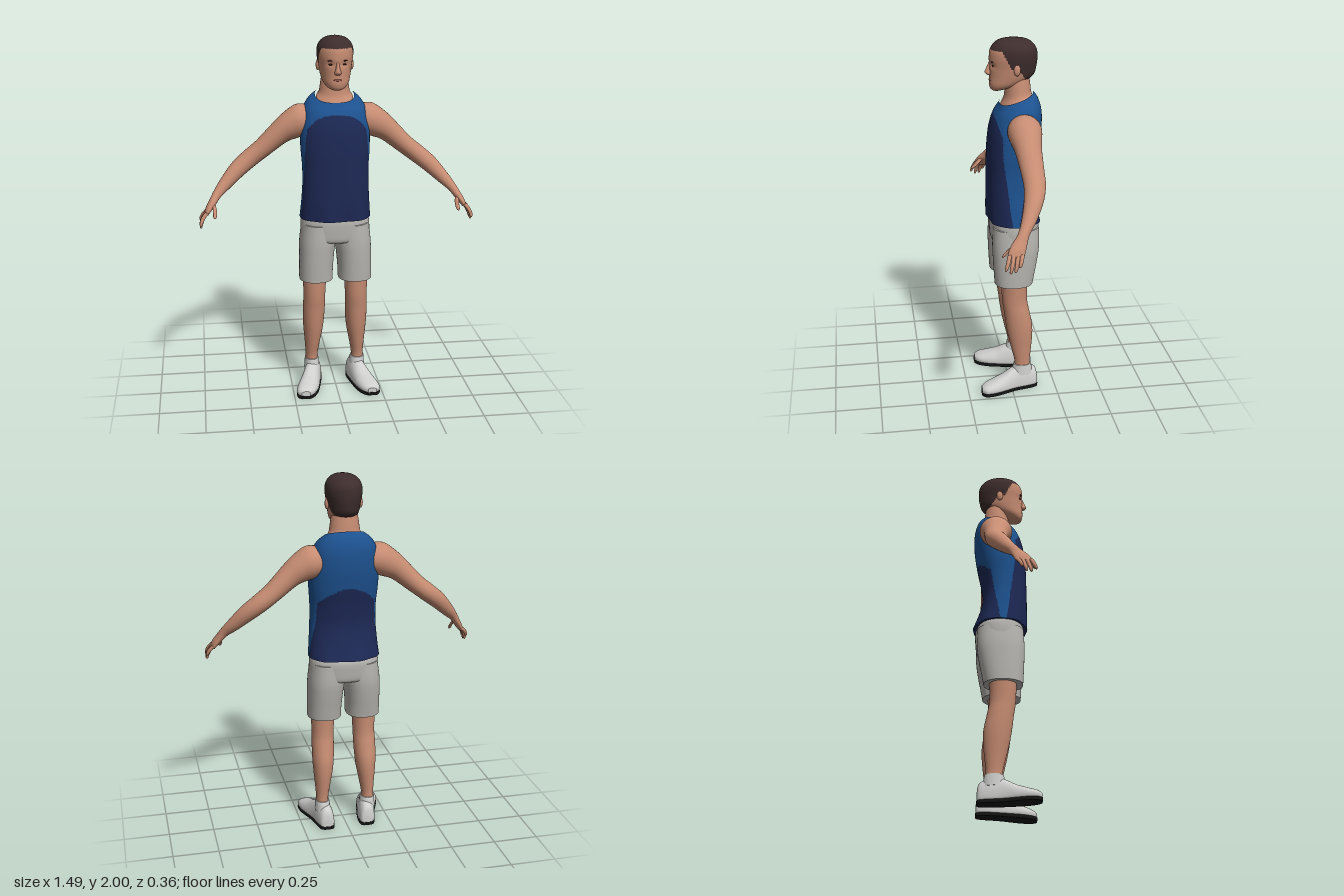
import * as THREE from 'three';

const paint = (name, color) => {
  const m = new THREE.MeshStandardMaterial({ color });
  m.name = name;
  return m;
};

// Signed power, for squarer or rounder rings
const pw = (v, e) => Math.sign(v) * Math.pow(Math.abs(v), e);

// Catmull-Rom value of every column of a section table at position t
function sample(secs, t) {
  const last = secs.length - 1, i = Math.min(Math.floor(t), last - 1), f = t - i;
  const at = k => secs[Math.max(0, Math.min(last, k))];
  return secs[0].map((_, c) => {
    const [a, b, d, e] = [at(i - 1)[c], at(i)[c], at(i + 1)[c], at(i + 2)[c]];
    return b + 0.5 * f * (d - a + f * (2 * a - 5 * b + 4 * d - e + f * (3 * (b - d) + e - a)));
  });
}

// Smooth skin through cross-sections; pick(x, y, z) chooses a material index per face
function loft(secs, point, { segs = 32, sub = 5, caps = [true, true], pick = null } = {}) {
  const pos = [], tris = [], rows = (secs.length - 1) * sub;
  for (let i = 0; i <= rows; i++) {
    const s = sample(secs, i / sub);
    for (let j = 0; j < segs; j++) pos.push(...point(s, (j / segs) * Math.PI * 2));
  }
  for (let i = 0; i < rows; i++) for (let j = 0; j < segs; j++) {
    const a = i * segs + j, b = i * segs + (j + 1) % segs;
    tris.push([a, b, b + segs], [a, b + segs, a + segs]);
  }
  // End caps get their own ring so the rim stays crisp
  [0, rows].forEach((row, end) => {
    if (!caps[end]) return;
    const start = pos.length / 3, mid = [0, 0, 0];
    for (let j = 0; j < segs; j++) for (let c = 0; c < 3; c++) {
      const v = pos[(row * segs + j) * 3 + c];
      pos.push(v);
      mid[c] += v / segs;
    }
    pos.push(...mid);
    for (let j = 0; j < segs; j++) {
      const a = start + j, b = start + (j + 1) % segs;
      tris.push(end ? [a, b, start + segs] : [b, a, start + segs]);
    }
  });
  // Turn the faces outward if the ring runs the other way
  const P = i => new THREE.Vector3().fromArray(pos, i * 3);
  const centre = new THREE.Vector3();
  for (let i = 0; i < pos.length / 3; i++) centre.add(P(i));
  centre.divideScalar(pos.length / 3);
  let volume = 0;
  for (const [a, b, c] of tris) volume += P(a).sub(centre).dot(P(b).sub(centre).cross(P(c).sub(centre)));
  if (volume < 0) tris.forEach(t => t.reverse());

  const geo = new THREE.BufferGeometry();
  geo.setAttribute('position', new THREE.Float32BufferAttribute(pos, 3));
  if (pick) {
    const sets = [[], []];
    for (const t of tris) {
      const m = P(t[0]).add(P(t[1])).add(P(t[2])).divideScalar(3);
      sets[pick(m.x, m.y, m.z)].push(...t);
    }
    geo.setIndex(sets.flat());
    geo.addGroup(0, sets[0].length, 0);
    geo.addGroup(sets[0].length, sets[1].length, 1);
  } else geo.setIndex(tris.flat());
  geo.computeVertexNormals();
  return geo;
}

// Upright ring: [y, centre x, half width, front z, back z, tilt]
const upright = (e = 1) => ([y, cx, rx, zf, zb, tilt = 0], a) => {
  const dz = (zf - zb) / 2 * pw(Math.sin(a), e);
  return [cx + rx * pw(Math.cos(a), e), y + tilt * dz, (zf + zb) / 2 + dz];
};
// Limb ring: [x, y, z, thickness, depth, angle in degrees]
const limb = ([x, y, z, ra, rb, deg], a) => {
  const d = deg * Math.PI / 180, c = ra * Math.cos(a);
  return [x + c * Math.cos(d), y + c * Math.sin(d), z + rb * Math.sin(a)];
};

function mirrored(geo) {
  const g = geo.clone().scale(-1, 1, 1), ix = g.index;
  for (let i = 0; i < ix.count; i += 3) {
    const a = ix.getX(i);
    ix.setX(i, ix.getX(i + 2));
    ix.setX(i + 2, a);
  }
  g.computeVertexNormals();
  return g;
}

export function createModel() {
  const model = new THREE.Group();
  model.name = 'standingMan';
  const skin = paint('skin', 0xc68c72), hair = paint('hair', 0x3e2d2d), navy = paint('navy cloth', 0x1d2955);
  const blue = paint('blue cloth', 0x1d5290), grey = paint('shorts cloth', 0xb5b3ae), white = paint('shoe white', 0xcfcfcd);
  const black = paint('sole black', 0x151515), lip = paint('lips', 0xa0604f), dark = paint('eye dark', 0x2e201c);

  const add = (name, geo, mat) => {
    const m = new THREE.Mesh(geo, mat);
    m.name = name;
    model.add(m);
  };
  const pair = (name, geo, mat) => {
    add(name + 'Left', geo, mat);
    add(name + 'Right', mirrored(geo), mat);
  };
  const blob = (x, y, z, rx, ry, rz) => new THREE.SphereGeometry(1, 20, 14).scale(rx, ry, rz).translate(x, y, z);

  // Head, with the hair as a second colour above the hairline
  const hairline = z => z > 0.04 ? 1.942 : z > -0.005 ? 1.942 - (0.04 - z) * 1.95
    : z > -0.045 ? 1.848 : Math.max(1.772, 1.848 + (z + 0.045) * 1.5);
  add('head', loft([
    [1.724, 0, 0.022, 0.082, 0.04], [1.735, 0, 0.046, 0.094, 0.0], [1.76, 0, 0.068, 0.1, -0.07],
    [1.80, 0, 0.081, 0.099, -0.132], [1.85, 0, 0.089, 0.099, -0.15], [1.90, 0, 0.097, 0.1, -0.155],
    [1.94, 0, 0.095, 0.095, -0.15], [1.97, 0, 0.08, 0.075, -0.13], [1.99, 0, 0.053, 0.045, -0.098],
    [2.0, 0, 0.012, -0.01, -0.04],
  ], (s, a) => {
    const p = upright()(s, a);
    // Eye sockets
    if (p[2] > 0) p[2] -= 0.007 * Math.exp(-(((Math.abs(p[0]) - 0.035) / 0.02) ** 2) - ((p[1] - 1.862) / 0.014) ** 2);
    return p;
  }, { segs: 80, sub: 8, pick: (x, y, z) => (y > hairline(z) ? 1 : 0) }), [skin, hair]);
  add('nose', loft([
    [1.806, 0, 0.012, 0.106, 0.07], [1.814, 0, 0.019, 0.118, 0.07], [1.825, 0, 0.016, 0.123, 0.07],
    [1.85, 0, 0.01, 0.112, 0.07], [1.882, 0, 0.008, 0.098, 0.07],
  ], upright(), { segs: 20 }), skin);
  pair('ear', blob(0.09, 1.845, -0.035, 0.012, 0.03, 0.018), skin);
  pair('eye', blob(0.035, 1.861, 0.084, 0.013, 0.0045, 0.004), dark);
  pair('eyebrow', blob(0.036, 1.881, 0.088, 0.017, 0.0035, 0.005), hair);
  add('mouth', blob(0, 1.78, 0.096, 0.022, 0.006, 0.006), lip);
  add('neck', loft([
    [1.64, 0, 0.1, 0.04, -0.12, -0.35], [1.672, 0, 0.1, 0.04, -0.126, -0.35], [1.70, 0, 0.084, 0.022, -0.122, -0.2],
    [1.75, 0, 0.076, 0.015, -0.118, 0], [1.81, 0, 0.066, 0.01, -0.11, 0],
  ], upright()), skin);

  // Sleeveless shirt: navy front and back panels, blue yoke and sides
  const panel = (x, y, z) => {
    const drop = Math.max(0, 1.4 - y), ax = Math.abs(x);
    if (z > 0.05 - drop * 0.13) return y < 1.59 - 0.09 * (ax / 0.165) ** 3 && ax < 0.176 + drop ? 1 : 0;
    return z < -0.1 + drop * 0.17 && y < 1.41 - 3.5 * x * x ? 1 : 0;
  };
  add('shirt', loft([
    [1.01, 0, 0.195, 0.116, -0.175, 0], [1.1, 0, 0.187, 0.12, -0.146, 0], [1.2, 0, 0.181, 0.12, -0.127, 0],
    [1.3, 0, 0.181, 0.118, -0.136, 0], [1.4, 0, 0.188, 0.115, -0.156, 0], [1.5, 0, 0.188, 0.105, -0.172, 0],
    [1.57, 0, 0.178, 0.09, -0.177, -0.05], [1.62, 0, 0.166, 0.072, -0.172, -0.12],
    [1.658, 0, 0.14, 0.055, -0.155, -0.25], [1.682, 0, 0.106, 0.044, -0.132, -0.35],
  ], (s, a) => {
    const p = upright(0.86)(s, a);
    // Soft folds towards the hem
    p[2] += 0.006 * Math.cos(7 * a) * Math.sin(a) * Math.max(0, 1 - (s[0] - 1.01) / 0.12);
    return p;
  }, { segs: 128, sub: 10, caps: [true, false], pick: panel }), [blue, navy]);

  // Shorts
  add('shortsSeat', loft([
    [0.875, 0, 0.13, 0.07, -0.13], [0.89, 0, 0.185, 0.096, -0.155], [0.94, 0, 0.192, 0.102, -0.163],
    [1.0, 0, 0.187, 0.102, -0.163], [1.04, 0, 0.17, 0.09, -0.13],
  ], upright(0.86), { segs: 56 }), grey);
  pair('shortsLeg', loft([
    [0.655, 0.109, 0.093, 0.09, -0.12], [0.72, 0.108, 0.094, 0.094, -0.132], [0.8, 0.104, 0.097, 0.098, -0.147],
    [0.88, 0.098, 0.1, 0.1, -0.157], [0.98, 0.09, 0.095, 0.095, -0.155],
  ], upright(0.88), { segs: 44 }), grey);

  // Legs and socks
  pair('leg', loft([
    [0.75, 0.115, 0.072, 0.06, -0.1], [0.65, 0.117, 0.066, 0.055, -0.09], [0.55, 0.118, 0.061, 0.05, -0.09],
    [0.48, 0.12, 0.062, 0.04, -0.102], [0.40, 0.122, 0.06, 0.03, -0.118], [0.33, 0.124, 0.054, 0.018, -0.12],
    [0.25, 0.128, 0.043, 0.0, -0.113], [0.17, 0.132, 0.034, -0.018, -0.105], [0.12, 0.132, 0.036, -0.015, -0.11],
  ], upright()), skin);
  pair('sock', loft([
    [0.09, 0.131, 0.044, 0.0, -0.12], [0.13, 0.131, 0.041, -0.008, -0.116], [0.152, 0.132, 0.039, -0.012, -0.11],
  ], upright()), white);

  // Shoes run heel to toe and turn outwards: [z, centre x, half width, top]
  const last = [
    [-0.15, 0.115, 0.018, 0.06], [-0.138, 0.117, 0.038, 0.11], [-0.09, 0.122, 0.049, 0.138], [-0.04, 0.13, 0.051, 0.138],
    [0.0, 0.14, 0.053, 0.124], [0.05, 0.155, 0.058, 0.096], [0.1, 0.17, 0.06, 0.077], [0.15, 0.184, 0.05, 0.06],
    [0.176, 0.188, 0.024, 0.045],
  ];
  pair('shoe', loft(last, ([z, cx, rx, top], a) => {
    const s = Math.sin(a);
    return [cx + rx * pw(Math.cos(a), 0.85), s > 0 ? 0.032 + (top - 0.032) * s : 0.032 - 0.022 * Math.sqrt(-s), z];
  }), white);
  pair('sole', loft(last, ([z, cx, rx], a) => [
    cx + (rx + 0.001) * pw(Math.cos(a), 0.6), 0.009 + 0.009 * Math.max(-1, Math.min(1, Math.sin(a) * 3)), z * 1.01,
  ]), black);

  // Arms down to the knuckles
  pair('arm', loft([
    [0.12, 1.55, -0.06, 0.07, 0.075, 90], [0.185, 1.545, -0.06, 0.088, 0.09, 80], [0.24, 1.517, -0.06, 0.078, 0.082, 65],
    [0.30, 1.475, -0.062, 0.063, 0.069, 52], [0.39, 1.395, -0.068, 0.052, 0.06, 48], [0.46, 1.34, -0.068, 0.05, 0.056, 46],
    [0.53, 1.283, -0.05, 0.046, 0.05, 45], [0.60, 1.213, -0.015, 0.035, 0.039, 45], [0.645, 1.165, 0.018, 0.025, 0.031, 42],
    [0.668, 1.132, 0.04, 0.021, 0.038, 35], [0.69, 1.1, 0.056, 0.018, 0.043, 30], [0.705, 1.073, 0.064, 0.012, 0.04, 25],
  ], limb), skin);

  // Fingers, little finger first, then the thumb
  const digit = (base, tip, r, bow) => {
    const at = (f, k) => [...base.map((b, i) => b + (tip[i] - b) * f + (i ? 0 : bow * Math.sin(Math.PI * f))), r * k, r * k, 25];
    return loft([at(0, 1), at(0.35, 1), at(0.7, 0.9), at(0.93, 0.65), at(1, 0.2)], limb, { segs: 14, sub: 4 });
  };
  [[0.033, 0.05, 1.03], [0.054, 0.072, 1.005], [0.075, 0.096, 1.0], [0.096, 0.12, 1.015]].forEach(([z0, z1, y], i) =>
    pair('finger' + (i + 1), digit([0.702, 1.085, z0], [0.738, y, z1], 0.0105, 0.008), skin));
  pair('thumb', digit([0.668, 1.125, 0.06], [0.664, 1.058, 0.125], 0.0125, -0.006), skin);

  return model;
}
